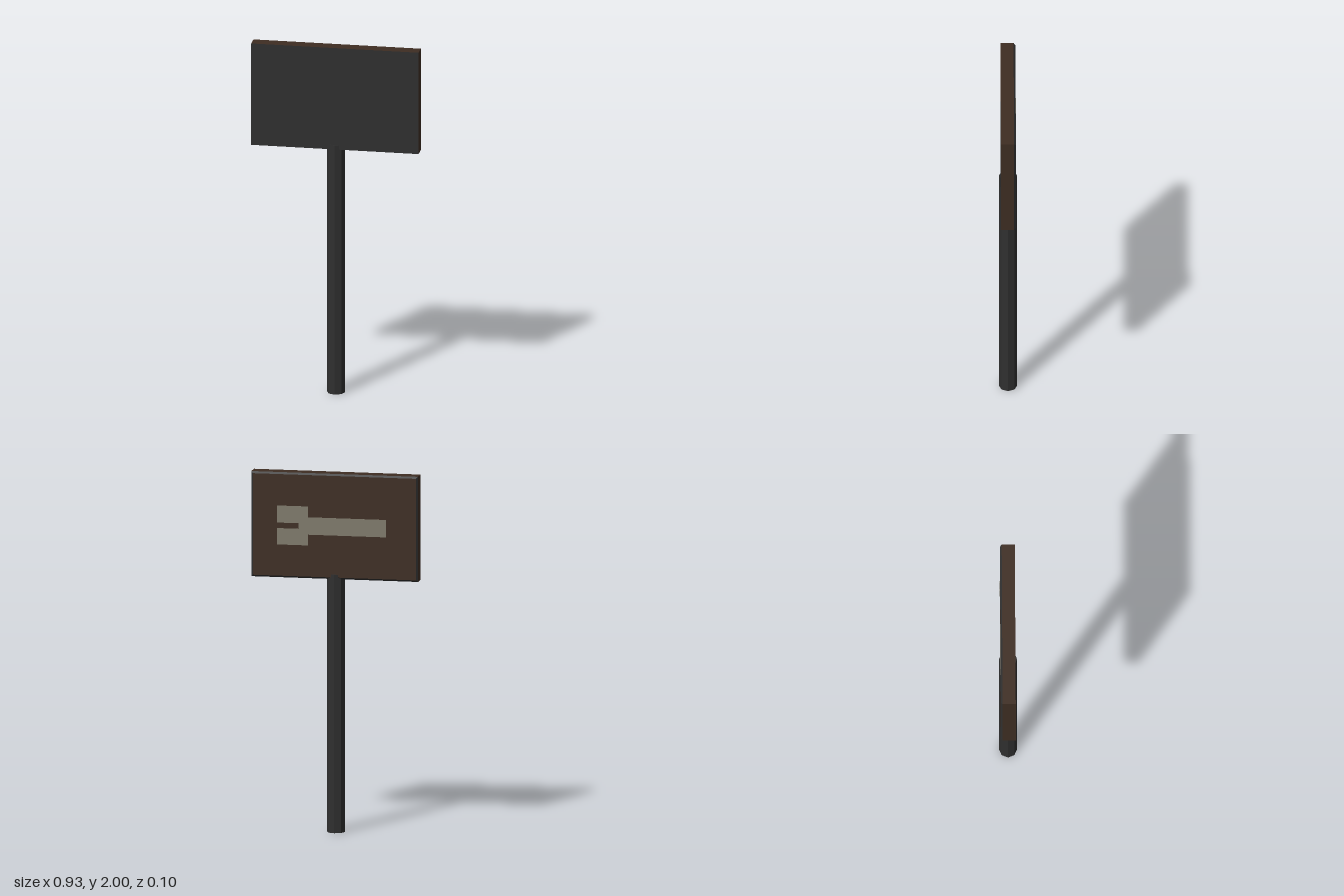
import * as THREE from 'three';

const mat = (name, color) => {
  const m = new THREE.MeshStandardMaterial({ color });
  m.name = name;
  return m;
};

export function createModel() {
  const dark = mat('darkGrey', 0x2f2f2f);
  const brown = mat('darkBrown', 0x3e2d22);
  const pale = mat('paleGrey', 0x7f7a6c);
  const group = new THREE.Group();
  const add = (name, geometry, material, x, y, z) => {
    const mesh = new THREE.Mesh(geometry, material);
    mesh.name = name;
    mesh.position.set(x, y, z);
    group.add(mesh);
    return mesh;
  };

  const W = 0.932, H = 0.586, midY = 2 - H / 2;
  const front = 0.04, rim = -0.032, back = -0.042, bevel = 0.01;

  // Octagonal post with its corners on the axes
  const post = new THREE.CylinderGeometry(0.05, 0.05, 1.44, 8).toNonIndexed();
  post.computeVertexNormals();
  add('post', post, dark, 0, 0.72, 0);

  // Board: brown edges, dark front face
  add('board', new THREE.BoxGeometry(W, H, front - rim),
    [brown, brown, brown, brown, dark, brown], 0, midY, (front + rim) / 2);

  // Back panel: dark sloping border around a brown face
  let panel = new THREE.BoxGeometry(W, H, rim - back);
  const p = panel.attributes.position;
  for (let i = 0; i < p.count; i++) {
    if (p.getZ(i) < 0) {
      p.setX(i, p.getX(i) - Math.sign(p.getX(i)) * bevel);
      p.setY(i, p.getY(i) - Math.sign(p.getY(i)) * bevel);
    }
  }
  panel.computeVertexNormals();
  add('backPanel', panel, [dark, dark, dark, dark, brown, brown], 0, midY, (rim + back) / 2);

  // Painted forked symbol on the back
  const symbol = new THREE.Shape([
    [0.32, 1.815], [0.147, 1.815], [0.147, 1.755], [-0.288, 1.755],
    [-0.288, 1.658], [0.147, 1.658], [0.147, 1.598], [0.32, 1.598],
    [0.32, 1.689], [0.2, 1.689], [0.2, 1.72], [0.32, 1.72],
  ].map(([x, y]) => new THREE.Vector2(x, y)));
  add('forkSymbol', new THREE.ExtrudeGeometry(symbol, { depth: 0.002, bevelEnabled: false }),
    pale, 0, 0, back - 0.0015);

  return group;
}
